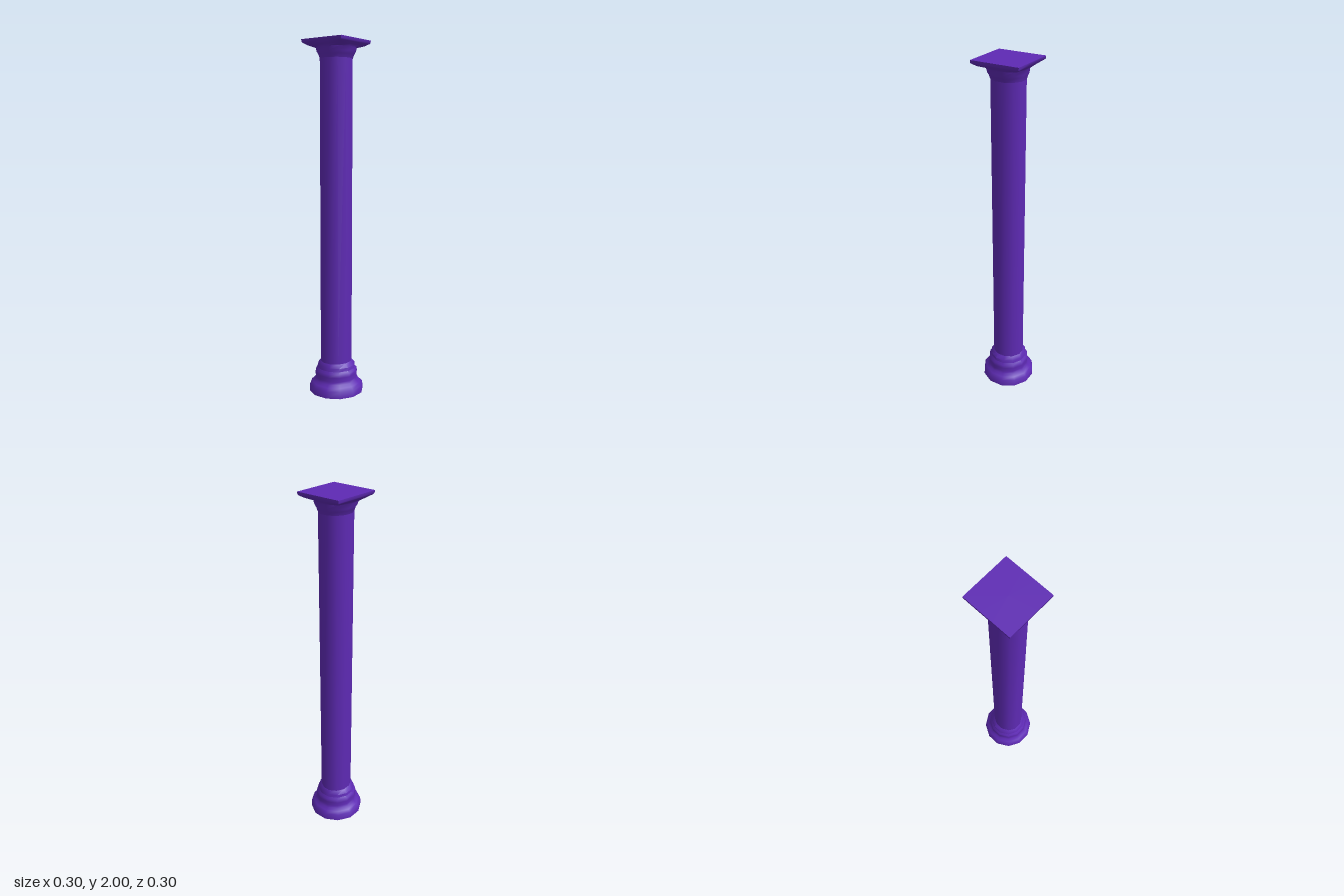
import * as THREE from 'three';
import { toCreasedNormals } from 'three/addons/utils/BufferGeometryUtils.js';

const SIDES = 12;
const material = new THREE.MeshStandardMaterial({ color: 0x5e2ab4, side: THREE.DoubleSide });

// Skin rings given as [y, radiusX, radiusZ, squareness 0..1], bottom to top
function loft(name, rings, capped = false) {
  const pos = [], index = [];
  for (const [y, rx, rz, square] of rings) {
    for (let i = 0; i < SIDES; i++) {
      const a = ((i + 0.5) / SIDES) * Math.PI * 2;
      const c = Math.cos(a), s = Math.sin(a);
      const k = 1 + square * (1 / Math.max(Math.abs(c), Math.abs(s)) - 1);
      pos.push(c * k * rx, y, s * k * rz);
    }
  }
  for (let j = 0; j < rings.length - 1; j++) {
    for (let i = 0; i < SIDES; i++) {
      const n = (i + 1) % SIDES;
      const a = j * SIDES + i, b = j * SIDES + n;
      index.push(a, a + SIDES, b, b, a + SIDES, b + SIDES);
    }
  }
  if (capped) {
    const top = (rings.length - 1) * SIDES, centre = pos.length / 3;
    pos.push(0, rings[rings.length - 1][0], 0);
    for (let i = 0; i < SIDES; i++) index.push(centre, top + ((i + 1) % SIDES), top + i);
  }
  const geometry = new THREE.BufferGeometry();
  geometry.setAttribute('position', new THREE.Float32BufferAttribute(pos, 3));
  geometry.setIndex(index);
  const mesh = new THREE.Mesh(toCreasedNormals(geometry, 0.9), material);
  mesh.name = name;
  return mesh;
}

export function createModel() {
  const group = new THREE.Group();
  group.name = 'column';

  // Stepped round base, open underneath
  group.add(loft('base', [
    [0, 0.157, 0.157, 0], [0.04, 0.155, 0.155, 0], [0.055, 0.14, 0.14, 0],
    [0.07, 0.126, 0.126, 0], [0.085, 0.12, 0.12, 0], [0.11, 0.123, 0.123, 0],
    [0.13, 0.12, 0.12, 0], [0.14, 0.109, 0.109, 0], [0.16, 0.109, 0.109, 0],
    [0.18, 0.088, 0.094, 0],
  ]));

  // Plain shaft
  group.add(loft('shaft', [[0.18, 0.088, 0.094, 0], [1.9, 0.088, 0.096, 0]]));

  // Neck flaring from round into the square top slab
  group.add(loft('capital', [
    [1.9, 0.088, 0.096, 0], [1.92, 0.097, 0.101, 0], [1.935, 0.108, 0.108, 0],
    [1.958, 0.11, 0.11, 0.1], [1.968, 0.118, 0.118, 0.8], [1.98, 0.129, 0.131, 1],
    [1.986, 0.134, 0.137, 1], [2, 0.135, 0.138, 1],
  ], true));

  return group;
}
